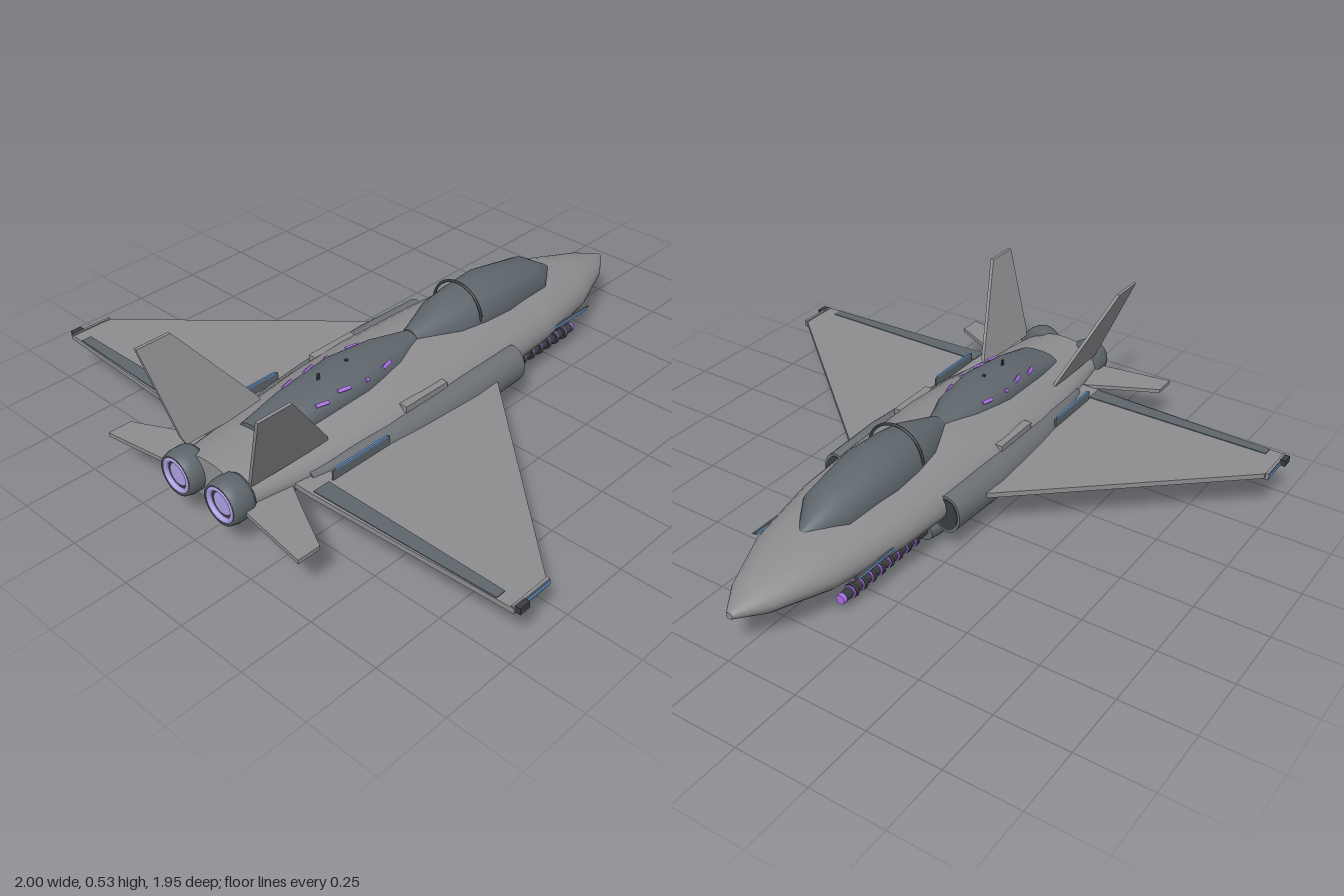
import * as THREE from 'three';

const mat = (name, color) => {
  const m = new THREE.MeshStandardMaterial({ color });
  m.name = name;
  return m;
};

export function createModel() {
  const hull = mat('hull grey', 0x8d8d90);
  const duct = mat('intake grey', 0x6d7175);
  const slate = mat('slate', 0x5e666c);
  const trim = mat('dark trim', 0x3a3d40);
  const violet = mat('violet glow', 0xa86ce0);
  const lavender = mat('lavender glow', 0xaea0e2);
  const blue = mat('blue light', 0x6590c2);

  const model = new THREE.Group();
  const add = (name, geo, material, x = 0, y = 0, z = 0) => {
    const m = new THREE.Mesh(geo, material);
    m.name = name;
    m.position.set(x, y, z);
    model.add(m);
    return m;
  };
  const box = (name, w, h, d, material, x, y, z) =>
    add(name, new THREE.BoxGeometry(w, h, d), material, x, y, z);
  const tube = (name, rFront, rBack, len, material, x, y, z, n = 20) =>
    add(name, new THREE.CylinderGeometry(rBack, rFront, len, n).rotateX(Math.PI / 2), material, x, y, z);

  // Body lofted through rounded stations [z, centre x, centre y, half width, up, down];
  // a power below 1 makes the section boxier than an ellipse
  const loft = (stations, n = 28, power = 1) => {
    const pos = [], idx = [];
    const bulge = v => Math.sign(v) * Math.abs(v) ** power;
    const ring = ([z, cx, cy, w, up, down]) => {
      for (let j = 0; j < n; j++) {
        const a = (j / n) * Math.PI * 2, s = bulge(Math.sin(a));
        pos.push(cx + w * bulge(Math.cos(a)), cy + s * (s > 0 ? up : down), z);
      }
    };
    stations.forEach(ring);
    for (let i = 0; i < stations.length - 1; i++) {
      for (let j = 0; j < n; j++) {
        const k = (j + 1) % n, a = i * n, b = a + n;
        idx.push(a + j, a + k, b + k, a + j, b + k, b + j);
      }
    }
    // Flat end caps with their own vertices
    [stations[0], stations[stations.length - 1]].forEach((st, e) => {
      const start = pos.length / 3;
      ring(st);
      pos.push(st[1], st[2], st[0]);
      for (let j = 0; j < n; j++) {
        const k = (j + 1) % n;
        if (e) idx.push(start + n, start + j, start + k);
        else idx.push(start + n, start + k, start + j);
      }
    });
    const g = new THREE.BufferGeometry();
    g.setAttribute('position', new THREE.Float32BufferAttribute(pos, 3));
    g.setIndex(idx);
    g.computeVertexNormals();
    return g;
  };

  const extrude = (points, t) => new THREE.ExtrudeGeometry(
    new THREE.Shape(points.map(p => new THREE.Vector2(...p))), { depth: t, bevelEnabled: false }
  ).translate(0, 0, -t / 2);
  // Horizontal plate from [x, z] corners, mirrored by s
  const plate = (name, points, s, t, y, material) =>
    add(name, extrude(points.map(([x, z]) => [s * x, z]), t).rotateX(Math.PI / 2), material, 0, y, 0);

  add('fuselage', loft([
    [-0.98, 0, 0.155, 0.012, 0.012, 0.012],
    [-0.88, 0, 0.157, 0.08, 0.046, 0.047],
    [-0.68, 0, 0.16, 0.16, 0.093, 0.081],
    [-0.4, 0, 0.165, 0.212, 0.11, 0.1],
    [-0.1, 0, 0.165, 0.23, 0.12, 0.107],
    [0.2, 0, 0.165, 0.235, 0.124, 0.111],
    [0.4, 0, 0.165, 0.23, 0.11, 0.112],
    [0.62, 0, 0.165, 0.205, 0.09, 0.1],
    [0.92, 0, 0.167, 0.155, 0.078, 0.075],
  ], 32), hull);

  add('canopy', loft([
    [-0.655, 0, 0.24, 0.01, 0.012, 0.01],
    [-0.53, 0, 0.25, 0.093, 0.08, 0.03],
    [-0.31, 0, 0.26, 0.114, 0.112, 0.03],
    [-0.18, 0, 0.26, 0.11, 0.102, 0.03],
    [-0.08, 0, 0.26, 0.098, 0.09, 0.03],
    [0.07, 0, 0.26, 0.04, 0.045, 0.02],
  ]), slate);
  add('canopyArch', new THREE.TorusGeometry(0.106, 0.005, 8, 28, Math.PI), trim, 0, 0.28, -0.165);

  add('dorsalSpine', loft([
    [0.07, 0, 0.25, 0.04, 0.05, 0.02],
    [0.2, 0, 0.25, 0.088, 0.066, 0.02],
    [0.37, 0, 0.25, 0.106, 0.078, 0.02],
    [0.58, 0, 0.24, 0.095, 0.066, 0.03],
    [0.735, 0, 0.225, 0.083, 0.042, 0.03],
  ], 28, 0.8), slate);
  box('antenna', 0.006, 0.03, 0.01, trim, 0, 0.322, 0.48);
  box('sensorStub', 0.01, 0.008, 0.01, trim, 0, 0.328, 0.36);

  for (const s of [1, -1]) {
    // Glowing vents on the spine
    [[0.26, 0.079, 0.299, -1], [0.36, 0.093, 0.298, 0], [0.45, 0.082, 0.302, 1], [0.54, 0.08, 0.292, 1]]
      .forEach(([z, x, y, turn]) => {
        const v = box('spineVent', 0.012, 0.008, turn ? 0.045 : 0.012, violet, s * x, y, z);
        v.rotation.set(0, -s * turn * 0.25, -s * 0.75);
      });

    // Side intake
    add('intake', loft([
      [-0.2, s * 0.222, 0.147, 0.05, 0.068, 0.066],
      [0.05, s * 0.222, 0.147, 0.063, 0.068, 0.07],
      [0.3, s * 0.21, 0.145, 0.062, 0.064, 0.064],
      [0.48, s * 0.2, 0.145, 0.055, 0.055, 0.058],
      [0.7, s * 0.17, 0.15, 0.04, 0.035, 0.045],
    ]), duct);
    add('intakeMouth', loft([
      [-0.203, s * 0.222, 0.147, 0.042, 0.059, 0.057],
      [-0.198, s * 0.222, 0.147, 0.042, 0.059, 0.057],
    ]), trim);
    box('intakeGlow', 0.008, 0.045, 0.03, violet, s * 0.27, 0.122, 0.285).rotation.z = -s * 0.25;
    for (const z of [0.21, 0.0]) {
      box('intakeGlowDot', 0.006, 0.012, 0.02, violet, s * 0.266, 0.105, z).rotation.z = -s * 0.5;
    }
    box('shoulderPanel', 0.03, 0.022, 0.19, hull, s * 0.205, 0.222, 0.225);
    box('rootStrake', 0.006, 0.032, 0.24, slate, s * 0.253, 0.186, 0.55);
    box('rootStrakeLight', 0.007, 0.007, 0.22, blue, s * 0.253, 0.205, 0.55);
    box('noseBlade', 0.006, 0.004, 0.35, slate, s * 0.199, 0.164, -0.47);
    box('noseLight', 0.006, 0.009, 0.2, blue, s * 0.199, 0.1575, -0.535);

    // Wing, flap and tip rail
    plate('wing', [[0.18, -0.13], [0.28, -0.05], [0.97, 0.57], [0.985, 0.722], [0.25, 0.755], [0.14, 0.755]],
      s, 0.018, 0.16, hull);
    plate('flap', [[0.25, 0.683], [0.925, 0.687], [0.925, 0.722], [0.25, 0.745]], s, 0.024, 0.16, slate);
    box('wingTipRail', 0.01, 0.024, 0.15, hull, s * 0.978, 0.161, 0.645);
    box('wingTipLight', 0.005, 0.014, 0.12, blue, s * 0.983, 0.161, 0.63);
    box('wingTipPod', 0.02, 0.022, 0.04, trim, s * 0.99, 0.163, 0.695);

    plate('stabilizer', [[0.1, 0.72], [0.27, 0.81], [0.43, 0.89], [0.43, 0.972], [0.1, 0.925]],
      s, 0.014, 0.157, hull);

    // Canted tail fin, leaned outward with height
    const fin = extrude([[0.59, 0.22], [0.6, 0.245], [0.82, 0.53], [0.945, 0.53], [0.9, 0.245], [0.89, 0.22]], 0.012)
      .rotateY(-Math.PI / 2);
    const p = fin.attributes.position;
    for (let i = 0; i < p.count; i++) p.setX(i, p.getX(i) + s * (0.155 + (p.getY(i) - 0.24) * 0.38));
    fin.computeVertexNormals();
    add('tailFin', fin, hull);

    // Engine nozzle: slate shell, dark throat, glowing ring and core
    const ex = s * 0.1, ey = 0.165 + 0.007;
    add('nozzle', new THREE.LatheGeometry(
      [[0, 0.89], [0.066, 0.89], [0.074, 0.905], [0.075, 0.945], [0.068, 0.972], [0.06, 0.972], [0.056, 0.945]]
        .map(q => new THREE.Vector2(...q)), 28).rotateX(Math.PI / 2), slate, ex, ey, 0);
    slate.side = THREE.DoubleSide;
    tube('nozzleThroat', 0.058, 0.058, 0.04, trim, ex, ey, 0.932, 28);
    add('nozzleRing', new THREE.TorusGeometry(0.053, 0.009, 10, 28), lavender, ex, ey, 0.966);
    tube('nozzleCore', 0.038, 0.038, 0.02, lavender, ex, ey, 0.952, 24);

    // Under-body gun pod with coil barrel
    const gx = s * 0.133;
    add('gunPod', loft([
      [-0.2, gx, 0.047, 0.035, 0.03, 0.032],
      [-0.15, gx, 0.048, 0.045, 0.04, 0.038],
      [0.03, gx, 0.052, 0.05, 0.04, 0.05],
      [0.2, gx, 0.053, 0.048, 0.04, 0.045],
      [0.36, gx, 0.055, 0.034, 0.03, 0.036],
    ]), slate);
    tube('gunBarrel', 0.017, 0.017, 0.43, trim, gx, 0.052, -0.415, 14);
    for (let i = 0; i < 8; i++) {
      const z = -0.26 - i * 0.046;
      tube('barrelRing', 0.024, 0.024, 0.012, trim, gx, 0.052, z, 16);
      tube('barrelCoil', 0.022, 0.022, 0.006, violet, gx, 0.052, z - 0.01, 16);
    }
    tube('muzzle', 0.016, 0.018, 0.012, violet, gx, 0.052, -0.635, 14);
  }

  return model;
}
